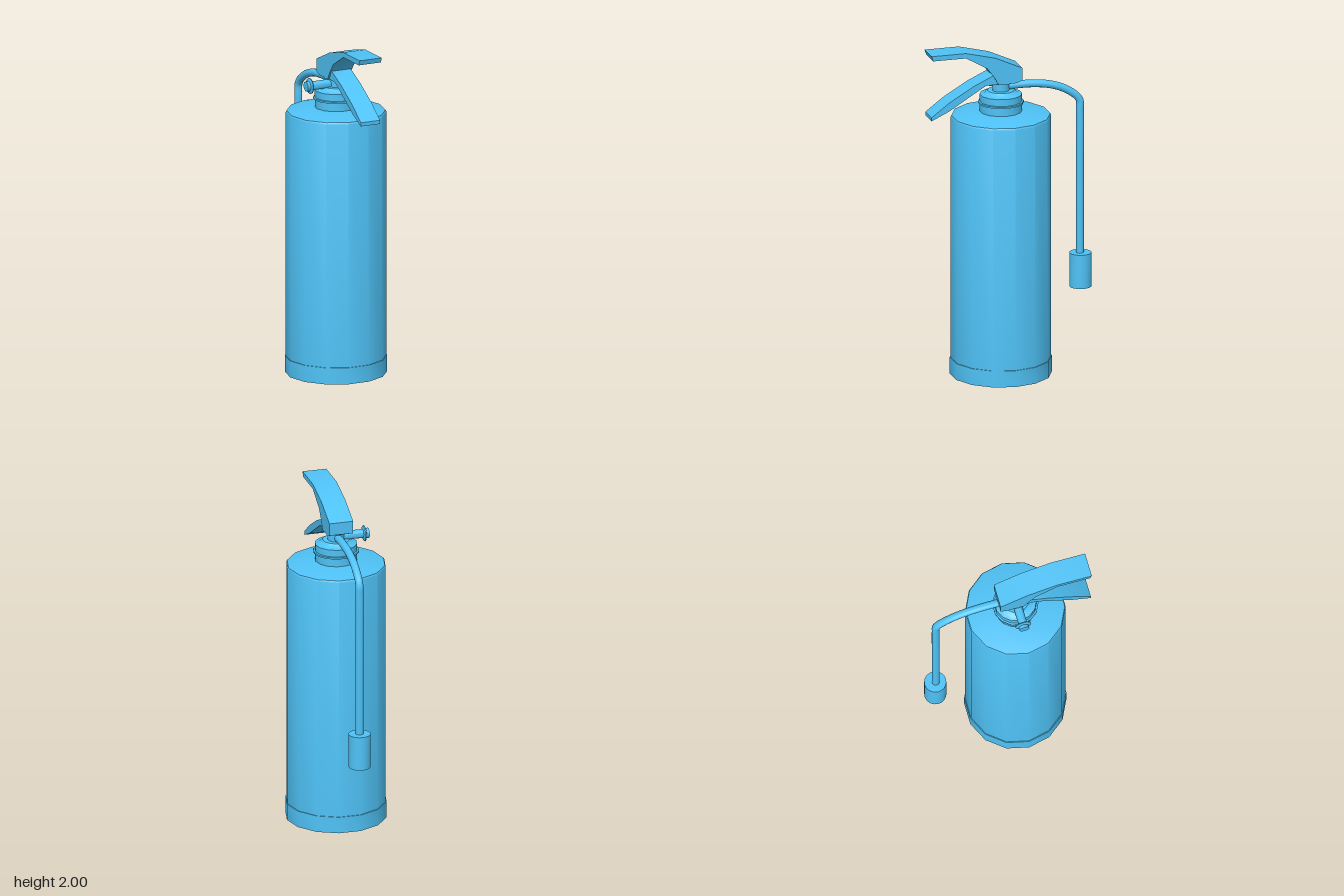
import * as THREE from 'three';
import { toCreasedNormals } from 'three/addons/utils/BufferGeometryUtils.js';

const AXIS_Z = 0.055; // the bottle stands slightly in front of centre

export function createModel() {
  const group = new THREE.Group();
  const material = new THREE.MeshStandardMaterial({ color: 0x4fc3f7 });

  const add = (name, geometry, x = 0, y = 0, z = 0) => {
    const mesh = new THREE.Mesh(toCreasedNormals(geometry, 0.6), material);
    mesh.name = name;
    mesh.position.set(x, y, z);
    group.add(mesh);
    return mesh;
  };
  const lathe = (profile, sides = 14) => new THREE.LatheGeometry(
    profile.map(([r, y]) => new THREE.Vector2(r, y)), sides, Math.PI / 2);

  // Side outline given as [z, y], extruded across x
  const sidePlate = (outline, width) => {
    const shape = new THREE.Shape(outline.map(([z, y]) => new THREE.Vector2(z, y)));
    const geometry = new THREE.ExtrudeGeometry(shape, { depth: width, bevelEnabled: false });
    return geometry.translate(0, 0, -width / 2).rotateY(-Math.PI / 2);
  };

  // Bottle with a low dome
  add('bottle', lathe([
    [0, 0.05], [0.295, 0.05], [0.295, 1.575], [0.29, 1.585],
    [0.2, 1.602], [0.1, 1.61], [0, 1.61],
  ]), 0, 0, AXIS_Z);

  // Base ring, open underneath
  add('baseRing', lathe([
    [0.282, 0.09], [0.282, 0], [0.3, 0], [0.3, 0.1], [0.294, 0.1],
  ]), 0, 0, AXIS_Z);

  // Neck: lower collar, thin flange, nut
  add('neckCollar', lathe([
    [0, 1.6], [0.124, 1.6], [0.124, 1.655], [0.135, 1.658], [0.135, 1.668],
    [0.125, 1.67], [0.125, 1.712], [0.1, 1.717], [0.08, 1.735], [0, 1.735],
  ]), 0, 0, AXIS_Z);

  // Valve stem under the levers
  add('valveStem', lathe([
    [0, 1.72], [0.05, 1.72], [0.05, 1.78], [0.072, 1.785], [0.072, 1.8], [0, 1.8],
  ], 16), 0, 0, AXIS_Z);

  // Squeeze lever, with its block at the back
  add('upperLever', sidePlate([
    [0.5, 2.0], [0.49, 1.97], [0.29, 1.97], [0.16, 1.895], [0.115, 1.835],
    [0.09, 1.79], [-0.02, 1.79], [-0.055, 1.805], [-0.055, 1.88], [0.11, 1.955], [0.29, 2.0],
  ], 0.145));

  // Carrying handle, sloping down to the front
  add('lowerLever', sidePlate([
    [0.12, 1.845], [0.0, 1.83], [0.0, 1.792], [0.165, 1.787], [0.26, 1.73],
    [0.39, 1.65], [0.497, 1.6], [0.497, 1.622], [0.39, 1.702], [0.24, 1.79],
  ], 0.126));

  // Safety pin along -x: shaft, flared disc, end knob
  const pin = add('safetyPin', lathe([
    [0, 0], [0.026, 0], [0.026, 0.162], [0.046, 0.168], [0.048, 0.174],
    [0.03, 0.18], [0.03, 0.198], [0, 0.198],
  ], 16), 0, 1.752, AXIS_Z);
  pin.rotation.z = Math.PI / 2;

  // Hose from the valve, over the back and straight down
  const hosePath = new THREE.CatmullRomCurve3([
    [1.757, 0.03], [1.757, -0.13], [1.74, -0.25], [1.7, -0.35],
    [1.635, -0.425], [1.57, -0.429], [1.2, -0.429], [0.68, -0.429],
  ].map(([y, z]) => new THREE.Vector3(0, y, z)));
  add('hose', new THREE.TubeGeometry(hosePath, 64, 0.023, 14));

  // Nozzle
  add('nozzle', new THREE.CylinderGeometry(0.065, 0.065, 0.207, 20), 0, 0.59, -0.432);

  return group;
}
